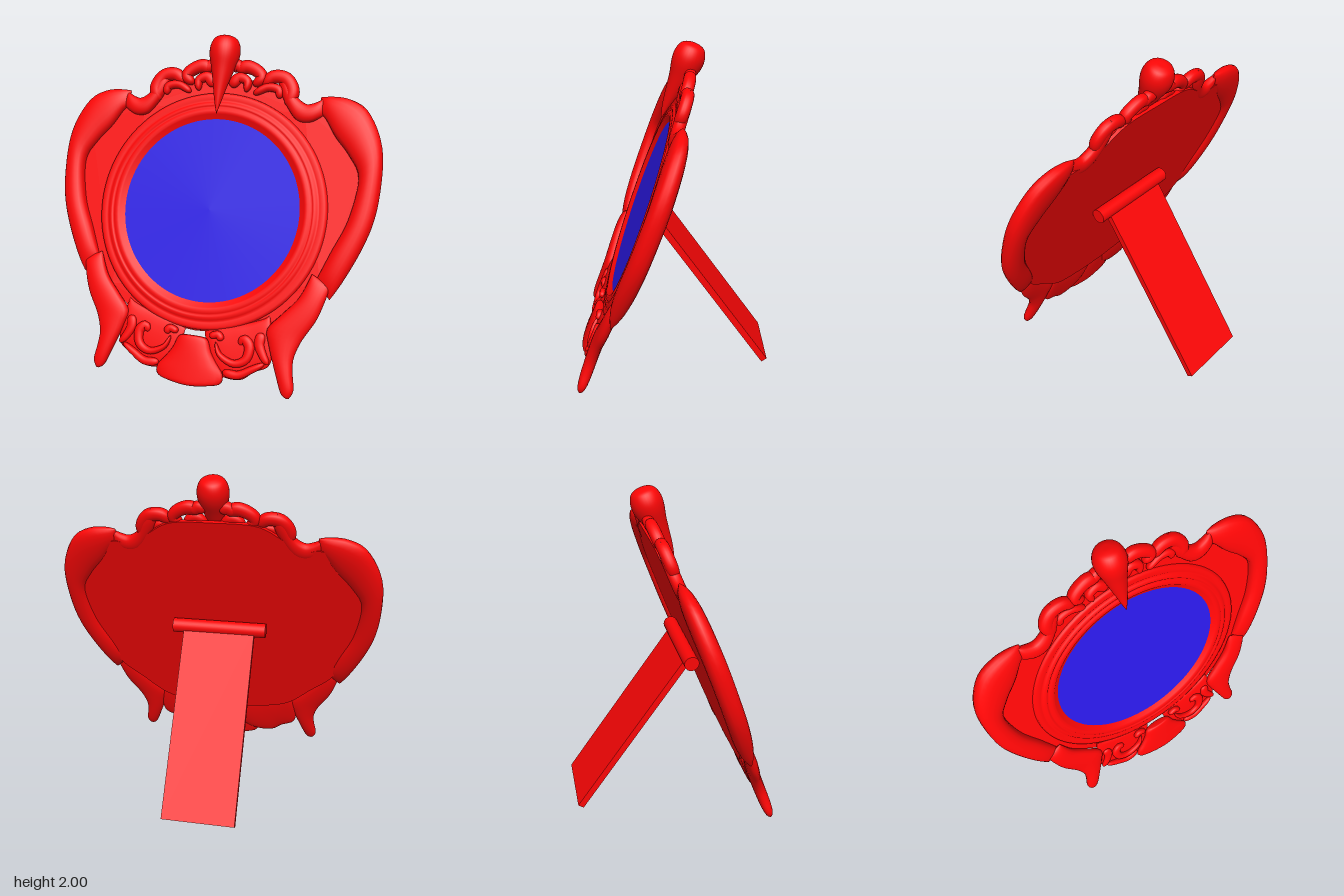
import * as THREE from 'three';

const TILT = THREE.MathUtils.degToRad(20), CY = 0.99, CZ = 0.2;
const red = new THREE.MeshStandardMaterial({ color: 0xfb0606 });
const blue = new THREE.MeshStandardMaterial({ color: 0x2a18e4 });

// Upright height y -> position in the leaning plane, at depth w in front of it
const plane = (x, y, w = 0) =>
  new THREE.Vector2(x, (y - CY - w * Math.sin(TILT)) / Math.cos(TILT));
const spline = (pts, w) => new THREE.SplineCurve(pts.map(([x, y]) => plane(x, y, w)));
const taper = t => Math.sqrt(Math.max(0, 1 - Math.abs(2 * t - 1) ** 5));

function add(parent, name, geometry, material = red) {
  const mesh = new THREE.Mesh(geometry, material);
  mesh.name = name;
  parent.add(mesh);
  return mesh;
}

// Pillow-shaped solid between two edges, given as functions of t
function pillow(edgeA, edgeB, w0, h, side = 1, n = 44) {
  const m = 20, pos = [], idx = [];
  for (let i = 0; i <= n; i++) {
    const t = 0.5 - 0.5 * Math.cos(Math.PI * i / n);
    const a = edgeA(t), b = edgeB(t);
    for (let j = 0; j < m; j++) {
      const ang = 2 * Math.PI * j / m, s = 0.5 - 0.5 * Math.cos(ang), sn = Math.sin(ang);
      const w = w0 + h * taper(t) * Math.sign(sn) * Math.abs(sn) ** 0.8;
      pos.push(side * (a.x + (b.x - a.x) * s), a.y + (b.y - a.y) * s, w);
    }
  }
  // Winding follows the direction of the edges
  const a0 = edgeA(0.45), a1 = edgeA(0.55), b0 = edgeB(0.5);
  const turn = side * ((a1.x - a0.x) * (b0.y - a0.y) - (a1.y - a0.y) * (b0.x - a0.x));
  for (let i = 0; i < n; i++) for (let j = 0; j < m; j++) {
    const k = (j + 1) % m;
    const p = i * m + j, q = (i + 1) * m + j, r = (i + 1) * m + k, s = i * m + k;
    if (turn > 0) idx.push(p, q, r, p, r, s);
    else idx.push(p, r, q, p, s, r);
  }
  const g = new THREE.BufferGeometry();
  g.setAttribute('position', new THREE.Float32BufferAttribute(pos, 3));
  g.setIndex(idx);
  g.computeVertexNormals();
  return g;
}

function leaf(ptsA, ptsB, w0, h, side) {
  const a = spline(ptsA, w0), b = spline(ptsB, w0);
  return pillow(t => a.getPointAt(t), t => b.getPointAt(t), w0, h, side);
}

// Rounded scroll that swells from radius r0 to r1 along a path
function scroll(pts, r0, r1, w0, h, side) {
  const c = spline(pts, w0);
  const edge = sign => t => {
    const p = c.getPointAt(t), d = c.getTangentAt(t);
    const r = sign * taper(t) * (r0 + (r1 - r0) * t);
    return new THREE.Vector2(p.x - d.y * r, p.y + d.x * r);
  };
  return pillow(edge(1), edge(-1), w0, h, side);
}

export function createModel() {
  const model = new THREE.Group();
  model.name = 'tableMirror';
  const frame = new THREE.Group();
  frame.name = 'frame';
  frame.position.set(0, CY, CZ);
  frame.rotation.x = -TILT;
  model.add(frame);

  // Back plate
  const half = [[0, 0.315], [0.22, 0.335], [0.42, 0.385], [0.58, 0.52], [0.72, 0.65], [0.82, 0.85],
    [0.9, 1.1], [0.89, 1.34], [0.78, 1.52], [0.62, 1.59], [0.5, 1.57], [0.4, 1.65], [0.25, 1.73], [0, 1.74]];
  const loop = [...half, ...half.slice(1, -1).reverse().map(([x, y]) => [-x, y]), half[0]];
  const plate = new THREE.Shape(spline(loop, 0).getPoints(140).slice(0, -1));
  add(frame, 'backPlate', new THREE.ExtrudeGeometry(plate, { depth: 0.026, bevelEnabled: false })
    .translate(0, 0, -0.03));

  // Mirror glass
  add(frame, 'mirrorGlass', new THREE.CircleGeometry(0.552, 96), blue);

  // Shallow stepped round moulding
  const moulding = [[0.712, -0.006], [0.708, 0.008], [0.695, 0.013], [0.668, 0.013], [0.66, 0.008],
    [0.652, 0.016], [0.638, 0.021], [0.628, 0.02], [0.622, 0.014], [0.615, 0.02], [0.6, 0.023],
    [0.585, 0.022], [0.578, 0.016], [0.548, -0.001]];
  add(frame, 'moulding', new THREE.LatheGeometry(moulding.map(p => new THREE.Vector2(...p)), 96)
    .rotateX(Math.PI / 2));

  // Teardrop finial, its stem leaning forward
  const drop = new THREE.SplineCurve([[0, 0.565], [0.02, 0.64], [0.043, 0.74], [0.068, 0.84],
    [0.09, 0.92], [0.092, 0.98], [0.072, 1.03], [0.035, 1.05], [0, 1.053]].map(p => new THREE.Vector2(...p)));
  const profile = drop.getPoints(40).map(p => new THREE.Vector2(Math.max(0, p.x), p.y));
  const finial = new THREE.LatheGeometry(profile, 32);
  const fp = finial.attributes.position;
  for (let i = 0; i < fp.count; i++)
    fp.setZ(i, fp.getZ(i) + 0.04 + 0.03 * (1 - THREE.MathUtils.smoothstep(fp.getY(i), 0.62, 0.95)));
  add(frame, 'finial', finial);

  // Fan at the bottom
  const fan = [[0.04, 0.298], [0.09, 0.285], [0.12, 0.22], [0.16, 0.165], [0.205, 0.11],
    [0.195, 0.06], [0.12, 0.038], [0.03, 0.025]];
  add(frame, 'bottomFan', leaf(fan.map(([x, y]) => [-x, y]), fan, 0.022, 0.032));

  // Scroll work: path, start and end radius, depth, thickness
  const crest = [
    [[[0.41, 1.6], [0.435, 1.68], [0.39, 1.75], [0.31, 1.76], [0.25, 1.71]], 0.042, 0.04, 0.008, 0.036],
    [[[0.36, 1.64], [0.35, 1.69], [0.28, 1.7], [0.2, 1.66]], 0.028, 0.022, 0.014, 0.026],
    [[[0.08, 1.79], [0.14, 1.815], [0.21, 1.79], [0.24, 1.75], [0.19, 1.71]], 0.045, 0.032, 0.008, 0.036],
    [[[0.05, 1.7], [0.1, 1.75], [0.155, 1.73], [0.15, 1.67]], 0.04, 0.02, 0.014, 0.028],
    [[[0.04, 1.8], [0.08, 1.82], [0.13, 1.79]], 0.04, 0.035, 0.005, 0.034],
  ];
  const base = [
    [[[0.14, 0.28], [0.175, 0.215], [0.26, 0.18], [0.33, 0.21], [0.345, 0.28], [0.31, 0.315], [0.285, 0.285]],
      0.012, 0.036, 0.024, 0.022],
    [[[0.1, 0.305], [0.15, 0.32], [0.175, 0.29]], 0.02, 0.024, 0.022, 0.02],
    [[[0.41, 0.36], [0.4, 0.3], [0.43, 0.24], [0.465, 0.2]], 0.034, 0.02, 0.02, 0.018],
    [[[0.2, 0.125], [0.29, 0.12], [0.37, 0.16], [0.44, 0.2]], 0.028, 0.018, 0.018, 0.022],
  ];

  for (const side of [1, -1]) {
    const tag = side > 0 ? 'left' : 'right';
    // Large side wing
    add(frame, tag + 'Wing', leaf(
      [[0.606, 1.655], [0.68, 1.66], [0.77, 1.65], [0.87, 1.6], [0.95, 1.48], [0.99, 1.34],
        [0.992, 1.15], [0.97, 0.99], [0.915, 0.835], [0.835, 0.675], [0.77, 0.57]],
      [[0.6, 1.56], [0.64, 1.54], [0.71, 1.44], [0.8, 1.34], [0.865, 1.22], [0.83, 1],
        [0.75, 0.82], [0.68, 0.66]], 0, 0.056, side));
    // Tapering foot under the wing
    add(frame, tag + 'Foot', leaf(
      [[0.77, 0.65], [0.75, 0.57], [0.71, 0.46], [0.64, 0.345], [0.605, 0.25], [0.608, 0.17],
        [0.622, 0.085], [0.6, 0.038]],
      [[0.66, 0.7], [0.6, 0.57], [0.51, 0.47], [0.435, 0.385], [0.45, 0.31], [0.505, 0.17],
        [0.55, 0.065], [0.585, 0.038]], 0.015, 0.036, side));
    // Curled leaf joining the wing to the crest
    add(frame, tag + 'ShoulderLeaf', leaf(
      [[0.63, 1.65], [0.57, 1.62], [0.52, 1.615], [0.46, 1.66], [0.42, 1.75], [0.37, 1.8]],
      [[0.64, 1.56], [0.56, 1.515], [0.48, 1.52], [0.42, 1.58], [0.37, 1.66], [0.34, 1.74]],
      0.003, 0.036, side));
    // Flat lobe beside the fan
    add(frame, tag + 'BottomLobe', leaf(
      [[0.1, 0.14], [0.2, 0.09], [0.31, 0.09], [0.38, 0.14], [0.46, 0.18], [0.48, 0.26], [0.46, 0.37]],
      [[0.06, 0.32], [0.14, 0.35], [0.22, 0.37], [0.3, 0.39], [0.36, 0.41], [0.41, 0.43], [0.44, 0.45]],
      0, 0.02, side));
    crest.forEach((c, i) => add(frame, `${tag}CrestScroll${i + 1}`, scroll(...c, side)));
    base.forEach((c, i) => add(frame, `${tag}BottomScroll${i + 1}`, scroll(...c, side)));
  }

  // Hinge rod and rear prop
  add(model, 'hinge', new THREE.CylinderGeometry(0.045, 0.045, 0.59, 32).rotateZ(Math.PI / 2))
    .position.set(0, 1.005, 0.115);
  const dy = 0.992, dz = 0.695;
  const prop = add(model, 'rearProp', new THREE.BoxGeometry(0.45, Math.hypot(dy, dz), 0.04));
  prop.position.set(0, 1.005 - dy / 2, 0.115 - dz / 2);
  prop.rotation.x = Math.atan2(dz, dy);
  return model;
}
